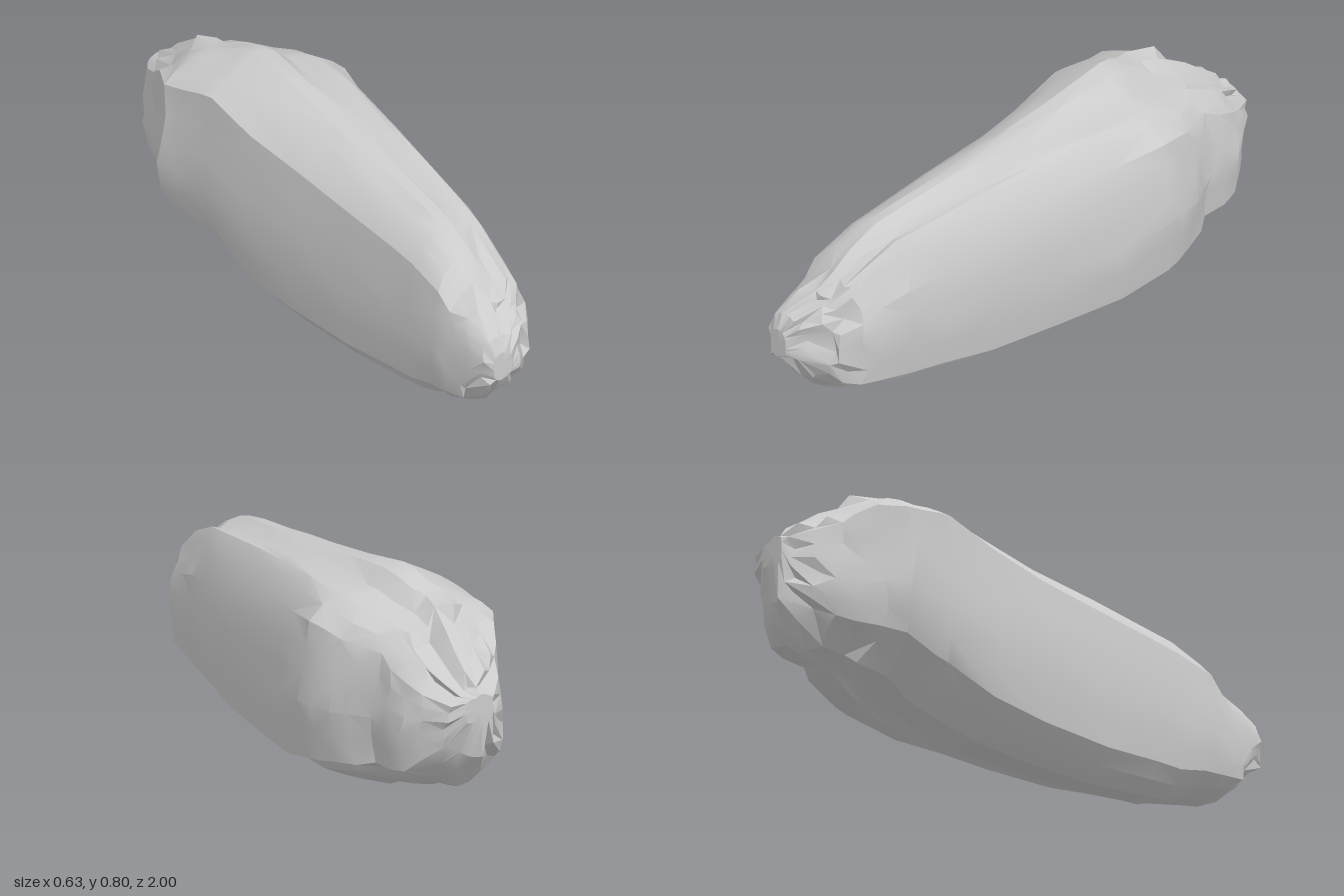
import * as THREE from 'three';
import { toCreasedNormals } from 'three/addons/utils/BufferGeometryUtils.js';

// Cross-sections, counter-clockwise from the front: u across (-1..1), v up (0..1)
const REAR = [
  [1, 0.43], [0.95, 0.56], [0.9, 0.68], [0.87, 0.79], [0.68, 0.85], [0.52, 0.885], [0.45, 0.9],
  [0.14, 0.92], [-0.05, 0.985], [-0.28, 1], [-0.52, 0.97], [-0.76, 0.915], [-0.92, 0.86], [-0.95, 0.7],
  [-0.98, 0.56], [-1, 0.42], [-0.96, 0.27], [-0.88, 0.17], [-0.7, 0.11], [-0.42, 0.01],
  [-0.12, 0], [0.1, 0.03], [0.38, 0.08], [0.46, 0.12], [0.9, 0.17], [0.95, 0.31],
];
const FRONT = [
  [1, 0.43], [0.98, 0.56], [0.95, 0.7], [0.83, 0.82], [0.7, 0.91], [0.56, 0.96], [0.46, 0.975],
  [0.2, 0.985], [0, 1], [-0.2, 0.995], [-0.45, 0.97], [-0.66, 0.92], [-0.86, 0.83], [-0.93, 0.69],
  [-0.97, 0.56], [-1, 0.42], [-0.98, 0.27], [-0.93, 0.14], [-0.75, 0.055], [-0.45, 0],
  [-0.12, 0.005], [0.12, 0.035], [0.42, 0.075], [0.52, 0.12], [0.9, 0.18], [0.97, 0.3],
];

// Extents along the length: z, xMin, xMax, yMin, yMax
const STATIONS = [
  [1, -0.09, -0.02, 0.28, 0.38], [0.97, -0.12, 0.03, 0.26, 0.43], [0.9, -0.14, 0.09, 0.18, 0.475],
  [0.87, -0.15, 0.12, 0.13, 0.49], [0.81, -0.16, 0.16, 0.11, 0.54], [0.74, -0.165, 0.17, 0.09, 0.6],
  [0.62, -0.17, 0.18, 0.05, 0.65], [0.5, -0.18, 0.2, 0.04, 0.67], [0.28, -0.2, 0.225, 0.01, 0.7],
  [0.02, -0.225, 0.255, 0.003, 0.735], [-0.22, -0.255, 0.285, 0.005, 0.765],
  [-0.42, -0.265, 0.31, 0.055, 0.8], [-0.48, -0.275, 0.295, 0.065, 0.79], [-0.55, -0.29, 0.272, 0.085, 0.765],
  [-0.62, -0.31, 0.235, 0.1, 0.75], [-0.7, -0.26, 0.19, 0.125, 0.735], [-0.77, -0.23, 0.182, 0.14, 0.68],
  [-0.84, -0.205, 0.16, 0.16, 0.64], [-0.91, -0.175, 0.125, 0.23, 0.585], [-0.97, -0.12, 0.06, 0.3, 0.54],
  [-1, -0.1, 0, 0.41, 0.52],
];

function seeded(seed) {
  return () => {
    seed = (seed * 16807) % 2147483647;
    return seed / 2147483647;
  };
}

function boulderGeometry() {
  const { lerp, smoothstep } = THREE.MathUtils;
  const rand = seeded(4271);
  const n = REAR.length;
  const strata = REAR.map(() => rand()); // grooves that run lengthwise
  const positions = [];
  const index = [];

  STATIONS.forEach(([z, x0, x1, y0, y1], j) => {
    const cx = (x0 + x1) / 2, cy = (y0 + y1) / 2;
    const end = j === 0 || j === STATIONS.length - 1;
    const rough = smoothstep(Math.abs(z + 0.02), 0.4, 0.8);
    const blend = smoothstep(z, -0.42, -0.1);
    let chip = 0;
    REAR.forEach(([ru, rv], i) => {
      const u = lerp(ru, FRONT[i][0], blend), v = lerp(rv, FRONT[i][1], blend);
      // The broad flanks stay smooth; the ends break into blocky ledges
      const flank = Math.abs(u) > 0.88 ? 0.15 : 1;
      if (i % 2 === 0) chip = rand() < 0.4 ? rand() : 0.1 * rand();
      const s = 1.01 - strata[i] * 0.02 * flank - chip * (0.02 * flank + 0.05 * rough);
      const slip = end ? 0 : (rand() - 0.5) * (0.03 + 0.02 * rough);
      positions.push(
        cx + u * (x1 - x0) / 2 * s,
        Math.max(0, cy + (v - 0.5) * (y1 - y0) * s),
        z + slip
      );
    });
  });

  // Skin between neighbouring cross-sections, with alternating diagonals
  for (let j = 0; j < STATIONS.length - 1; j++) {
    for (let i = 0; i < n; i++) {
      const a = j * n + i, b = j * n + (i + 1) % n, c = a + n, d = b + n;
      if ((i * 7 + j * 3) % 5 < 2) index.push(a, c, d, a, d, b);
      else index.push(a, c, b, b, c, d);
    }
  }

  // Blunt end caps
  [0, STATIONS.length - 1].forEach((j) => {
    const [z, x0, x1, y0, y1] = STATIONS[j];
    const centre = positions.length / 3;
    positions.push((x0 + x1) / 2, (y0 + y1) / 2, z);
    for (let i = 0; i < n; i++) {
      const a = j * n + i, b = j * n + (i + 1) % n;
      if (j === 0) index.push(centre, a, b);
      else index.push(centre, b, a);
    }
  });

  const geometry = new THREE.BufferGeometry();
  geometry.setAttribute('position', new THREE.Float32BufferAttribute(positions, 3));
  geometry.setIndex(index);
  return toCreasedNormals(geometry, 0.4);
}

export function createModel() {
  const group = new THREE.Group();
  group.name = 'rock';
  const boulder = new THREE.Mesh(boulderGeometry(), new THREE.MeshStandardMaterial({ color: 0xcccccc }));
  boulder.name = 'boulder';
  group.add(boulder);
  return group;
}
